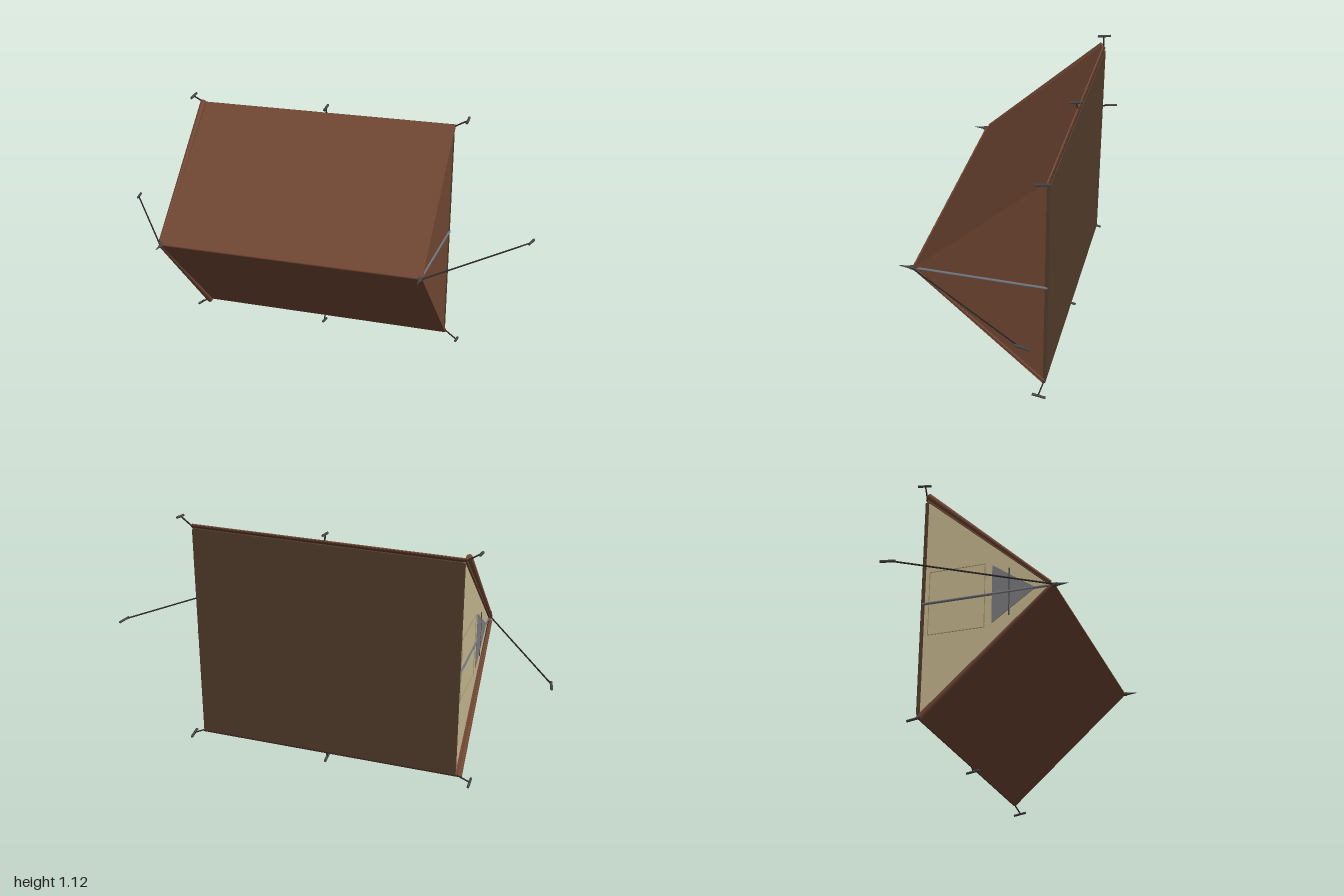
import * as THREE from 'three';

const mat = (name, color) => {
  const m = new THREE.MeshStandardMaterial({ color });
  m.name = name;
  return m;
};

export function createModel() {
  const canvas = mat('brown canvas', 0x724834);
  const hem = mat('dark brown hem', 0x3e291e);
  const ground = mat('groundsheet brown', 0x523d2b);
  const khaki = mat('khaki inner cloth', 0xc6b88f);
  const seam = mat('khaki seam', 0x9a8e6a);
  const mesh = mat('grey vent netting', 0x7c7c80);
  const steel = mat('grey pole', 0x70747a);
  const metal = mat('dark metal', 0x48484a);
  const rope = mat('dark rope', 0x2c2824);

  const model = new THREE.Group();
  const MID = 0.56; // height of the ridge and poles

  const add = (name, geometry, material) => {
    const m = new THREE.Mesh(geometry, material);
    m.name = name;
    model.add(m);
    return m;
  };

  // Plate with a (z, y) outline, reaching from x0 to x1
  const plate = (name, outline, x0, x1, material) => {
    const shape = new THREE.Shape(outline.map(([z, y]) => new THREE.Vector2(-z, y)));
    const g = new THREE.ExtrudeGeometry(shape, { depth: x1 - x0, bevelEnabled: false });
    g.rotateY(Math.PI / 2).translate(x0, 0, 0);
    return add(name, g, material);
  };

  const box = (name, x, y, z, w, h, d, material) =>
    add(name, new THREE.BoxGeometry(w, h, d).translate(x, y, z), material);

  // Round bar between two points
  const bar = (name, a, b, r0, r1, material, sides = 8) => {
    const p = new THREE.Vector3(...a), q = new THREE.Vector3(...b);
    const dir = q.clone().sub(p);
    const m = add(name, new THREE.CylinderGeometry(r1, r0, dir.length(), sides), material);
    m.position.copy(p).add(q).multiplyScalar(0.5);
    m.quaternion.setFromUnitVectors(new THREE.Vector3(0, 1, 0), dir.normalize());
    return m;
  };

  // Groundsheet with a slightly raised rim
  box('groundsheet', 0, MID, -0.313, 1.206, 1.01, 0.008, ground);
  for (const s of [-1, 1]) {
    box('groundsheetRim', s * 0.599, MID, -0.31, 0.012, 1.0, 0.016, ground);
  }

  for (const s of [-1, 1]) {
    // Roof slope, its lower hem and the hem at the closed end
    plate('roofSlope', [[0.27, MID], [0.253, MID], [-0.31, MID + s * 0.508],
      [-0.312, MID + s * 0.519], [-0.302, MID + s * 0.521]], -0.612, 0.61, canvas);
    bar('roofLowerHem', [-0.61, MID + s * 0.514, -0.309], [0.61, MID + s * 0.514, -0.309],
      0.006, 0.006, hem);
    bar('endHem', [0.603, MID + s * 0.008, 0.249], [0.603, MID + s * 0.51, -0.305],
      0.004, 0.004, hem);
    // Rolled door flap along the open end, tapering towards the ridge
    bar('rolledDoorFlap', [-0.614, MID + s * 0.01, 0.256], [-0.617, MID + s * 0.525, -0.298],
      0.007, 0.014, canvas, 10);
    bar('doorFlapEdge', [-0.605, MID + s * 0.01, 0.246], [-0.605, MID + s * 0.51, -0.302],
      0.004, 0.004, hem);
  }
  bar('ridgeSeam', [-0.612, MID, 0.267], [0.61, MID, 0.267], 0.006, 0.006, canvas);

  // Closed end and inner wall of the open end
  const triangle = [[0.255, MID], [-0.308, MID + 0.509], [-0.308, MID - 0.509]];
  plate('closedEndWall', triangle, 0.595, 0.602, canvas);
  plate('innerDoorWall', triangle, -0.603, -0.596, khaki);

  // Door outline, netting vent and vent bar
  for (const s of [-1, 1]) {
    box('doorSeam', -0.603, MID + s * 0.148, -0.158, 0.003, 0.003, 0.25, seam);
  }
  for (const z of [-0.283, -0.033]) {
    box('doorSeam', -0.603, MID, z, 0.003, 0.3, 0.003, seam);
  }
  plate('nettingVent', [[0.19, MID], [0.0, MID + 0.135], [0.0, MID - 0.135]],
    -0.606, -0.602, mesh);
  box('ventBar', -0.605, MID, 0.075, 0.004, 0.22, 0.004, metal);

  for (const s of [-1, 1]) {
    // End pole with spike
    bar('endPole', [s * 0.604, MID, -0.315], [s * 0.602, MID, 0.285], 0.006, 0.006, steel, 10);
    bar('poleSpike', [s * 0.602, MID, 0.28], [s * 0.602, MID, 0.33], 0.007, 0.001, metal, 10);
    bar('poleCollar', [s * 0.602, MID, 0.262], [s * 0.602, MID, 0.282], 0.01, 0.009, metal, 10);
    // Guy rope and its peg
    bar('guyRope', [s * 0.605, MID, 0.275], [s * 0.985, MID, -0.285], 0.0035, 0.0035, rope, 6);
    bar('guyPeg', [s * 0.982, MID, -0.268], [s * 0.995, MID, -0.33], 0.006, 0.006, metal, 6);

    // Pegs with short loops along each long edge
    for (const x of [-1, 0, 1]) {
      const px = x * 0.667, py = MID + s * 0.547;
      bar('pegLoop', [x * 0.608, MID + s * 0.512, -0.308], [px, py, -0.295],
        0.0035, 0.0035, rope, 6);
      bar('peg', [px, py + s * 0.005, -0.329], [px, py - s * 0.005, -0.268],
        0.006, 0.006, metal, 6);
    }
  }

  return model;
}
